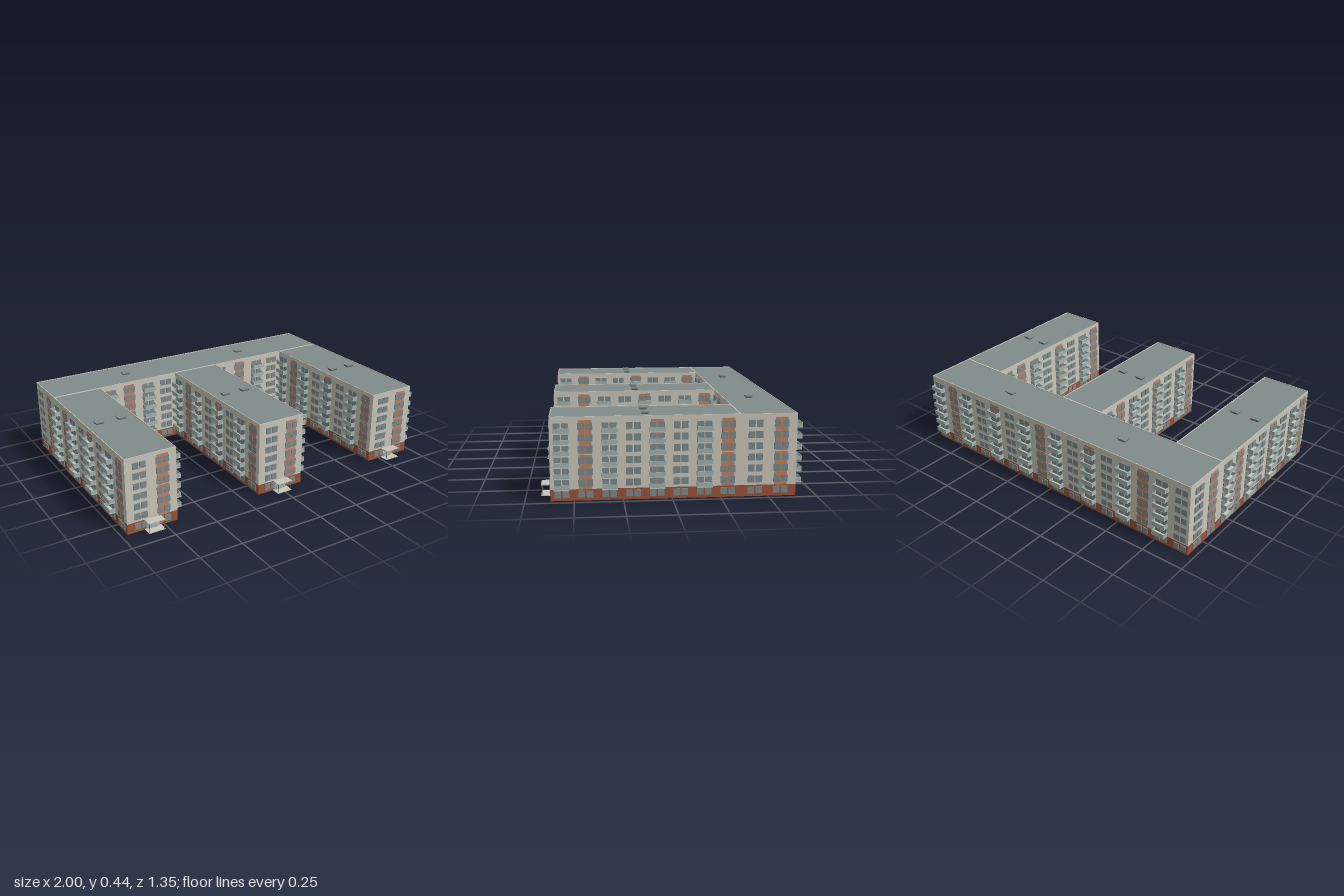
import * as THREE from 'three';
import { mergeGeometries } from 'three/addons/utils/BufferGeometryUtils.js';

const mat = (name, color) => {
  const m = new THREE.MeshStandardMaterial({ color });
  m.name = name;
  return m;
};

const BASE = 0.06, WALL = 0.429, TOP = 0.435, FLOOR = 0.0584;

export function createModel() {
  const wall = mat('beige wall', 0xc8c6ba);
  const brick = mat('red brick', 0x9a5238);
  const roof = mat('grey roof', 0x808b8a);
  const glass = mat('window glass', 0x7d898a);
  const rail = mat('pale balcony panel', 0x9fb2af);
  const accent = mat('terracotta accent', 0xbc8068);
  const metal = mat('dark metal', 0x5c6363);

  // Boxes are gathered by part name and merged into one mesh per part
  const parts = new Map();
  const add = (name, material, size, pos, frame) => {
    const g = new THREE.BoxGeometry(...size).translate(...pos);
    if (frame) g.applyMatrix4(frame);
    if (!parts.has(name)) parts.set(name, { material, list: [] });
    parts.get(name).list.push(g);
  };

  // One building block: plinth, walls, roof and parapet
  const block = (x0, x1, z0, z1) => {
    const w = x1 - x0, d = z1 - z0, cx = (x0 + x1) / 2, cz = (z0 + z1) / 2, t = 0.004;
    add('plinth', brick, [w, BASE, d], [cx, BASE / 2, cz]);
    add('walls', wall, [w, WALL - BASE, d], [cx, (WALL + BASE) / 2, cz]);
    add('roof', roof, [w - 2 * t, 0.002, d - 2 * t], [cx, WALL + 0.001, cz]);
    for (const s of [-1, 1]) {
      add('parapet', wall, [w, TOP - WALL, t], [cx, (TOP + WALL) / 2, cz + s * (d - t) / 2]);
      add('parapet', wall, [t, TOP - WALL, d - 2 * t], [cx + s * (w - t) / 2, (TOP + WALL) / 2, cz]);
    }
  };

  // Balcony: floor slab with three panels, hung on a facade
  const balcony = (u, y, frame) => {
    const w = 0.08, d = 0.034, h = 0.025, t = 0.003;
    add('balconySlabs', wall, [w, 0.005, d], [u, y - h / 2, d / 2], frame);
    add('balconyPanels', rail, [w, h, t], [u, y, d - t / 2], frame);
    for (const s of [-1, 1])
      add('balconyPanels', rail, [t, h, d - t], [u + s * (w - t) / 2, y, (d - t) / 2], frame);
  };

  // Column of paired windows, optionally with an accent strip and balconies
  const column = (frame, u, { strip = false, balconies = false } = {}) => {
    if (strip) {
      add('accentStrips', accent, [0.066, 0.178, 0.003], [u, 0.149, 0.0015], frame);
      add('accentStrips', accent, [0.066, 0.174, 0.003], [u, 0.329, 0.0015], frame);
    }
    for (let i = 0; i < 7; i++) {
      const y = 0.034 + i * FLOOR;
      for (const s of [-1, 1])
        add('windows', glass, [0.034, 0.036, 0.005], [u + s * 0.0205, y, 0.0025], frame);
      if (balconies && i > 0) balcony(u, y - 0.016, frame);
    }
  };

  // Facade frame: local +z points out of the wall
  const facade = (x, z, angle) => new THREE.Matrix4().makeRotationY(angle).setPosition(x, 0, z);

  // Roof hatch with a wider cap
  const hatch = (x, z) => {
    add('roofHatchBodies', metal, [0.046, 0.01, 0.034], [x, 0.436, z]);
    add('roofHatchCaps', roof, [0.054, 0.005, 0.042], [x, 0.4425, z]);
  };

  // Entrance: door, step, posts and canopy
  const entrance = (x, z) => {
    add('doorFrames', wall, [0.07, 0.052, 0.006], [x, 0.028, z + 0.003]);
    add('doors', rail, [0.058, 0.046, 0.009], [x, 0.025, z + 0.0045]);
    add('entranceSteps', wall, [0.096, 0.004, 0.052], [x, 0.002, z + 0.026]);
    add('canopies', wall, [0.096, 0.004, 0.052], [x, 0.059, z + 0.026]);
    for (const s of [-1, 1])
      add('canopyPosts', metal, [0.003, 0.054, 0.003], [x + s * 0.043, 0.03, z + 0.047]);
  };

  const X = 0.965, BACK = -0.645, MID = -0.348, FRONT = 0.62, HALF = 0.148;

  // Three wings
  for (const cx of [-0.817, 0, 0.817]) {
    block(cx - HALF, cx + HALF, MID, FRONT);
    const front = facade(cx, FRONT, 0);
    column(front, -0.067);
    column(front, 0.067, { strip: true });
    entrance(cx, FRONT);
    for (const s of [-1, 1]) {
      const side = facade(cx + s * HALF, (MID + FRONT) / 2, s * Math.PI / 2);
      for (let i = 0; i < 8; i++)
        column(side, -0.427 + i * 0.1215, { strip: i % 3 === 1, balconies: i % 2 === 0 });
      hatch(cx + s * 0.067, 0.133);
    }
  }

  // Rear bar joining the wings
  block(-X, X, BACK, MID);
  const rear = facade(0, BACK, Math.PI);
  for (let i = 0; i < 16; i++)
    column(rear, -0.905 + i * 0.1213, { strip: i % 3 === 1, balconies: i % 2 === 0 });
  for (const s of [-1, 1]) {
    const end = facade(s * X, (BACK + MID) / 2, s * Math.PI / 2);
    column(end, -0.067);
    column(end, 0.067, { strip: true });
    hatch(s * 0.425, -0.5);
  }

  // Courtyard sides of the rear bar
  const court = facade(0, MID, 0);
  for (const [a, b, c, d] of [[-0.605, -0.475, -0.345, -0.22], [0.19, 0.34, 0.475, 0.6]]) {
    column(court, a, { balconies: true });
    column(court, b, { strip: true });
    column(court, c, { balconies: true });
    column(court, d);
  }

  const model = new THREE.Group();
  model.name = 'apartmentBuilding';
  for (const [name, { material, list }] of parts) {
    const mesh = new THREE.Mesh(mergeGeometries(list), material);
    mesh.name = name;
    model.add(mesh);
  }
  return model;
}
